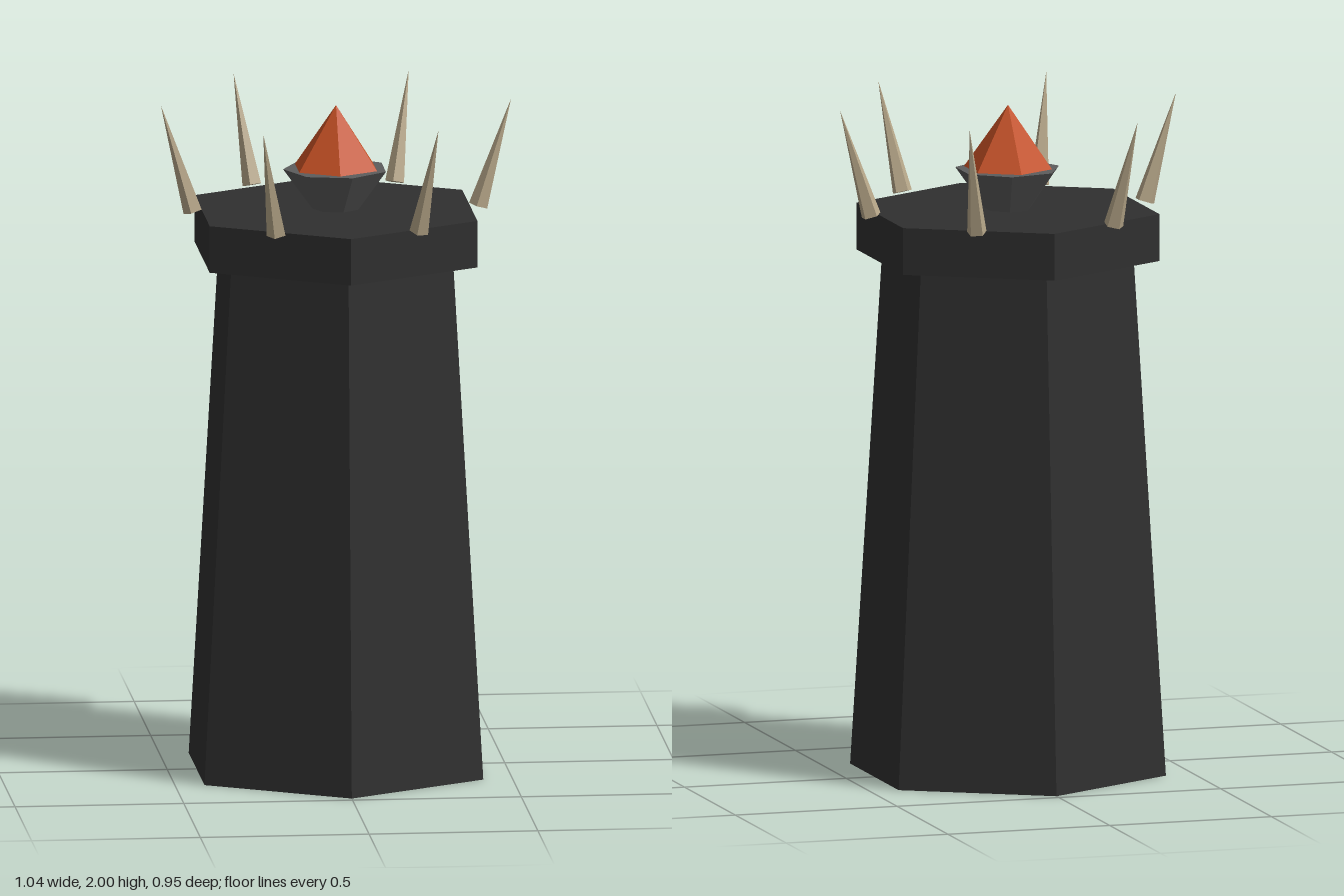
import * as THREE from 'three';

const flat = (name, color) => {
  const m = new THREE.MeshStandardMaterial({ color, flatShading: true });
  m.name = name;
  return m;
};

export function createModel() {
  const group = new THREE.Group();
  const stone = flat('dark stone', 0x2f2f2f);
  const iron = flat('grey iron', 0x5c5c5c);
  const ember = flat('ember orange', 0xc45024);
  const bone = flat('bone', 0xb8a88a);

  // Faceted frustum standing between two heights
  const frustum = (name, material, rTop, rBottom, y0, y1, sides, start = 0) => {
    const geometry = new THREE.CylinderGeometry(rTop, rBottom, y1 - y0, sides, 1, false, start);
    const mesh = new THREE.Mesh(geometry, material);
    mesh.name = name;
    mesh.position.y = (y0 + y1) / 2;
    group.add(mesh);
    return mesh;
  };

  // Tapered hexagonal tower and its overhanging slab
  frustum('towerBody', stone, 0.38, 0.477, 0, 1.54, 6);
  frustum('towerCap', stone, 0.458, 0.458, 1.54, 1.68, 6);

  // Seven-sided brazier with a pointed flame
  frustum('brazier', iron, 0.157, 0.07, 1.68, 1.8, 7, -Math.PI / 2);
  frustum('flame', ember, 0, 0.133, 1.802, 1.99, 6);

  // Six spikes leaning outward, one over the middle of each side
  const up = new THREE.Vector3(0, 1, 0);
  for (let i = 0; i < 6; i++) {
    const a = (i * Math.PI) / 3;
    const at = (r, y) => new THREE.Vector3(Math.cos(a) * r, y, Math.sin(a) * r);
    const base = at(0.423, 1.68);
    const tip = at(0.519, 2);
    const axis = tip.clone().sub(base);
    const geometry = new THREE.ConeGeometry(0.03, axis.length(), 5, 1, false, -Math.PI / 2);
    const spike = new THREE.Mesh(geometry, bone);
    spike.name = `spike${i + 1}`;
    spike.position.copy(base).lerp(tip, 0.5);
    spike.quaternion.setFromUnitVectors(up, axis.normalize());
    group.add(spike);
  }

  return group;
}
